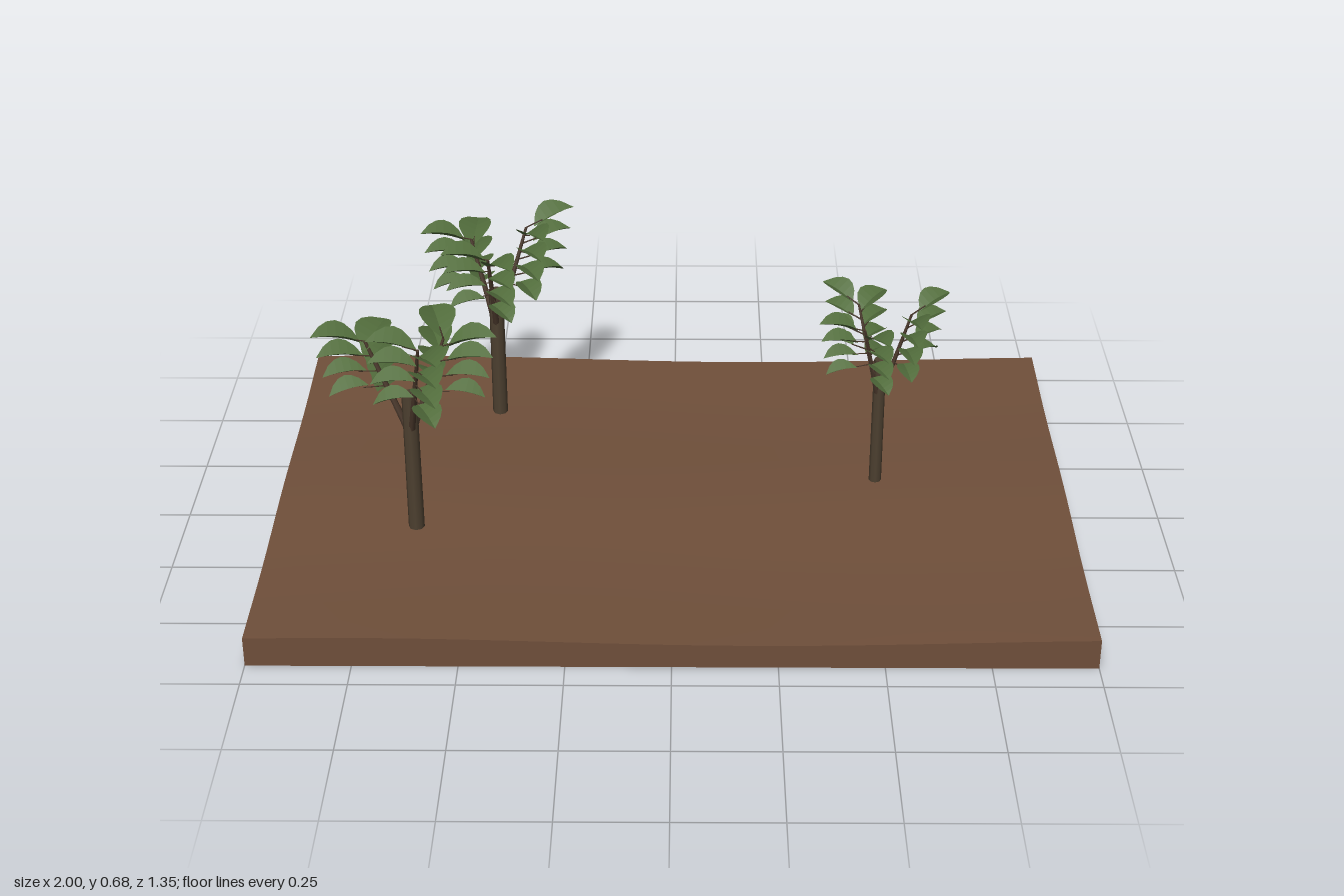
import * as THREE from 'three';

const mat = (name, color, extra = {}) => new THREE.MeshStandardMaterial({ name, color, ...extra });

// Gentle rolling height of the soil surface
function groundHeight(x, z) {
  const u = z / 0.675;
  return 0.084 - 0.0175 * u + 0.004 * Math.cos((Math.PI * u) / 0.55)
    + 0.009 * Math.cos((Math.PI * (x + 0.75)) / 0.95);
}

// Thick slab whose top vertices follow the height rule
function groundGeometry() {
  const geo = new THREE.BoxGeometry(2, 1, 1.35, 24, 1, 18);
  const p = geo.attributes.position;
  for (let i = 0; i < p.count; i++) {
    p.setY(i, p.getY(i) > 0 ? groundHeight(p.getX(i), p.getZ(i)) : 0);
  }
  geo.computeVertexNormals();
  return geo;
}

// Unit leaf along +z, centred, folded up along its midrib
function leafGeometry() {
  const geo = new THREE.PlaneGeometry(1, 1, 4, 6).rotateX(-Math.PI / 2);
  const p = geo.attributes.position;
  for (let i = 0; i < p.count; i++) {
    const across = p.getX(i) * 2;
    const s = p.getZ(i) + 0.5;
    const w = Math.max(0.03, Math.pow(Math.sin(Math.PI * s), 0.75));
    p.setX(i, across * w * 0.36);
    p.setY(i, Math.abs(across) * w * 0.2 - 0.25 * (s - 0.5) ** 2);
  }
  geo.computeVertexNormals();
  return geo;
}

// Tapered round limb between two points
function limb(name, a, b, r0, r1, sides, material) {
  const d = b.clone().sub(a);
  const mesh = new THREE.Mesh(new THREE.CylinderGeometry(r1, r0, d.length(), sides), material);
  mesh.name = name;
  mesh.position.copy(a).addScaledVector(d, 0.5);
  mesh.quaternion.setFromUnitVectors(new THREE.Vector3(0, 1, 0), d.normalize());
  return mesh;
}

// Each branch: tip [x, y, z], then the ground-plan centres of its two leaf rows
const TREES = [
  { x: -0.47, z: -0.39, top: 0.46, r: 0.02, leaf: 0.12, branches: [
    { tip: [-0.535, 0.58, -0.445], rows: [[-0.605, -0.43], [-0.53, -0.505]] },
    { tip: [-0.39, 0.61, -0.455], rows: [[-0.32, -0.495], [-0.365, -0.41]] },
    { tip: [-0.48, 0.59, -0.295], rows: [[-0.54, -0.28], [-0.45, -0.255]] },
  ] },
  { x: -0.64, z: 0.19, top: 0.465, r: 0.02, leaf: 0.125, branches: [
    { tip: [-0.745, 0.585, 0.15], rows: [[-0.81, 0.17], [-0.73, 0.105]] },
    { tip: [-0.555, 0.59, 0.145], rows: [[-0.575, 0.08], [-0.485, 0.15]] },
    { tip: [-0.60, 0.635, 0.295], rows: [[-0.66, 0.30], [-0.575, 0.34]] },
  ] },
  { x: 0.52, z: -0.05, top: 0.435, r: 0.016, leaf: 0.1, branches: [
    { tip: [0.465, 0.56, -0.105], rows: [[0.415, -0.15], [0.50, -0.145]] },
    { tip: [0.595, 0.55, -0.07], rows: [[0.655, -0.115], [0.605, -0.02]] },
    { tip: [0.475, 0.54, 0.0], rows: [[0.41, 0.01], [0.505, 0.06]] },
  ] },
];

export function createModel() {
  const model = new THREE.Group();
  model.name = 'groveOnSoil';
  const soil = mat('soilBrown', 0x6f4f3a);
  const bark = mat('barkBrown', 0x4d4030);
  const twigBark = mat('branchBrown', 0x4a382b);
  const green = mat('leafGreen', 0x526d3c, { side: THREE.DoubleSide, flatShading: true });

  const ground = new THREE.Mesh(groundGeometry(), soil);
  ground.name = 'ground';
  model.add(ground);

  const leafGeo = leafGeometry();
  const LEVELS = 4;

  for (const t of TREES) {
    const tree = new THREE.Group();
    tree.name = 'tree';
    const base = new THREE.Vector3(t.x, groundHeight(t.x, t.z) - 0.01, t.z);
    tree.add(limb('trunk', base, new THREE.Vector3(t.x, t.top, t.z), t.r, t.r * 0.95, 8, bark));

    for (const b of t.branches) {
      const start = new THREE.Vector3(t.x, t.top - 0.12, t.z);
      const tip = new THREE.Vector3(...b.tip);
      tree.add(limb('branch', start, tip, t.r * 0.5, t.r * 0.2, 6, twigBark));

      // Two rows of leaves climb the branch in alternating steps
      b.rows.forEach(([cx, cz], row) => {
        const dx = cx - tip.x, dz = cz - tip.z;
        const heading = Math.atan2(dx, dz);
        for (let i = 0; i < LEVELS; i++) {
          const k = 1 - (i + row * 0.5) * 0.155;
          const node = start.clone().lerp(tip, k);
          const inward = (1 - k) * 0.45;
          const centre = new THREE.Vector3(
            cx + (t.x - tip.x) * inward, node.y + 0.02 - 0.008 * i, cz + (t.z - tip.z) * inward);
          const size = t.leaf * (1 - 0.07 * i);
          const leaf = new THREE.Mesh(leafGeo, green);
          leaf.name = 'leaf';
          leaf.position.copy(centre);
          leaf.rotation.set(-0.25 + 0.14 * i, heading, 0, 'YXZ');
          leaf.scale.setScalar(size);
          tree.add(leaf);
          // Short stalk from branch to leaf
          tree.add(limb('leafStalk', node, centre.clone().lerp(node, 0.4), 0.002, 0.0015, 4, twigBark));
        }
      });
    }
    model.add(tree);
  }
  return model;
}
